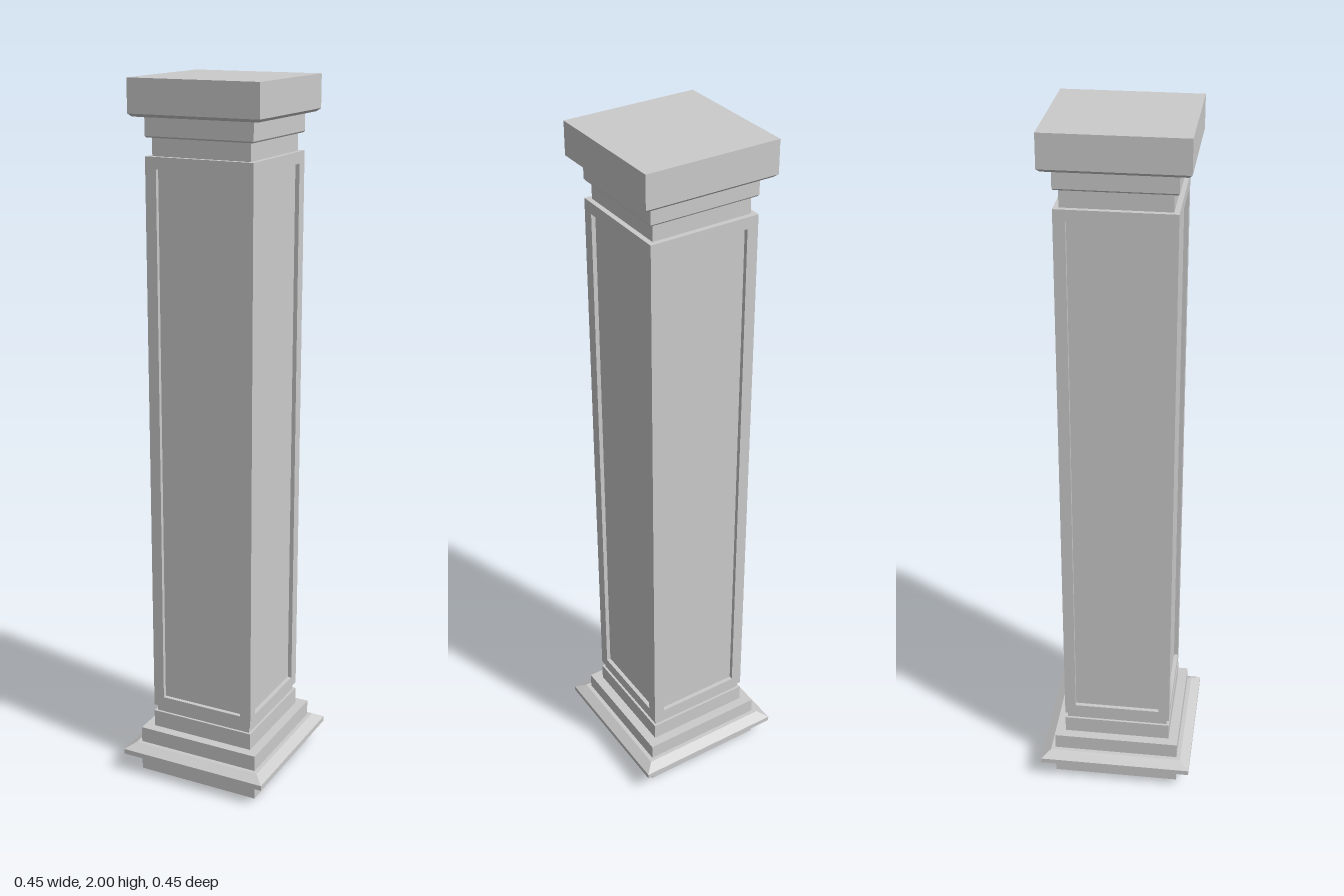
import * as THREE from 'three';

const material = new THREE.MeshStandardMaterial({ color: 0xcccccc, flatShading: true });

const SHAFT = 0.157, SHAFT_BOTTOM = 0.205, SHAFT_TOP = 1.8;

// Square moulding: a profile of [half width, y], swept round four sides
function squareMoulding(name, profile) {
  const points = profile.map(([half, y]) => new THREE.Vector2(half * Math.SQRT2, y));
  const geometry = new THREE.LatheGeometry(points, 4, Math.PI / 4).toNonIndexed();
  geometry.computeVertexNormals();
  const mesh = new THREE.Mesh(geometry, material);
  mesh.name = name;
  return mesh;
}

// One side of the shaft: a flat border stepping back to a sunken panel.
// Each ring is a rectangle [half width, bottom, top, z].
function panelledSide() {
  const depth = 0.012;
  const rings = [
    [SHAFT, SHAFT_BOTTOM, SHAFT_TOP, SHAFT],
    [0.125, 0.236, 1.768, SHAFT],
    [0.125, 0.236, 1.768, SHAFT - depth],
  ];
  const positions = [];
  for (const [w, y0, y1, z] of rings) {
    positions.push(-w, y0, z, w, y0, z, w, y1, z, -w, y1, z);
  }
  const index = [];
  for (let r = 0; r < rings.length - 1; r++) {
    for (let i = 0; i < 4; i++) {
      const a = r * 4 + i, b = r * 4 + (i + 1) % 4;
      index.push(a, b, b + 4, a, b + 4, a + 4);
    }
  }
  const c = (rings.length - 1) * 4;
  index.push(c, c + 1, c + 2, c, c + 2, c + 3);
  const indexed = new THREE.BufferGeometry();
  indexed.setAttribute('position', new THREE.Float32BufferAttribute(positions, 3));
  indexed.setIndex(index);
  const geometry = indexed.toNonIndexed();
  geometry.computeVertexNormals();
  return geometry;
}

export function createModel() {
  const model = new THREE.Group();
  model.name = 'squareColumn';

  // Plinth, bevelled flange and stepped blocks up to the shaft
  model.add(squareMoulding('base', [
    [0, 0], [0.185, 0], [0.185, 0.045],
    [0.2, 0.045], [0.224, 0.058], [0.224, 0.073], [0.197, 0.09],
    [0.185, 0.09], [0.185, 0.136], [0.157, 0.136], [0.157, 0.186],
    [0.15, 0.186], [0.15, SHAFT_BOTTOM], [SHAFT, SHAFT_BOTTOM],
  ]));

  // Shaft with a sunken panel on all four sides
  const shaft = new THREE.Group();
  shaft.name = 'shaft';
  const side = panelledSide();
  ['front', 'left', 'back', 'right'].forEach((label, i) => {
    const mesh = new THREE.Mesh(side, material);
    mesh.name = `${label}Panel`;
    mesh.rotation.y = i * Math.PI / 2;
    shaft.add(mesh);
  });
  model.add(shaft);

  // Neck, collar and cap block
  model.add(squareMoulding('capital', [
    [SHAFT, SHAFT_TOP], [0.143, SHAFT_TOP], [0.143, 1.848],
    [0.154, 1.848], [0.157, 1.852], [0.157, 1.902],
    [0.18, 1.902], [0.189, 1.91], [0.189, 2], [0, 2],
  ]));

  return model;
}
